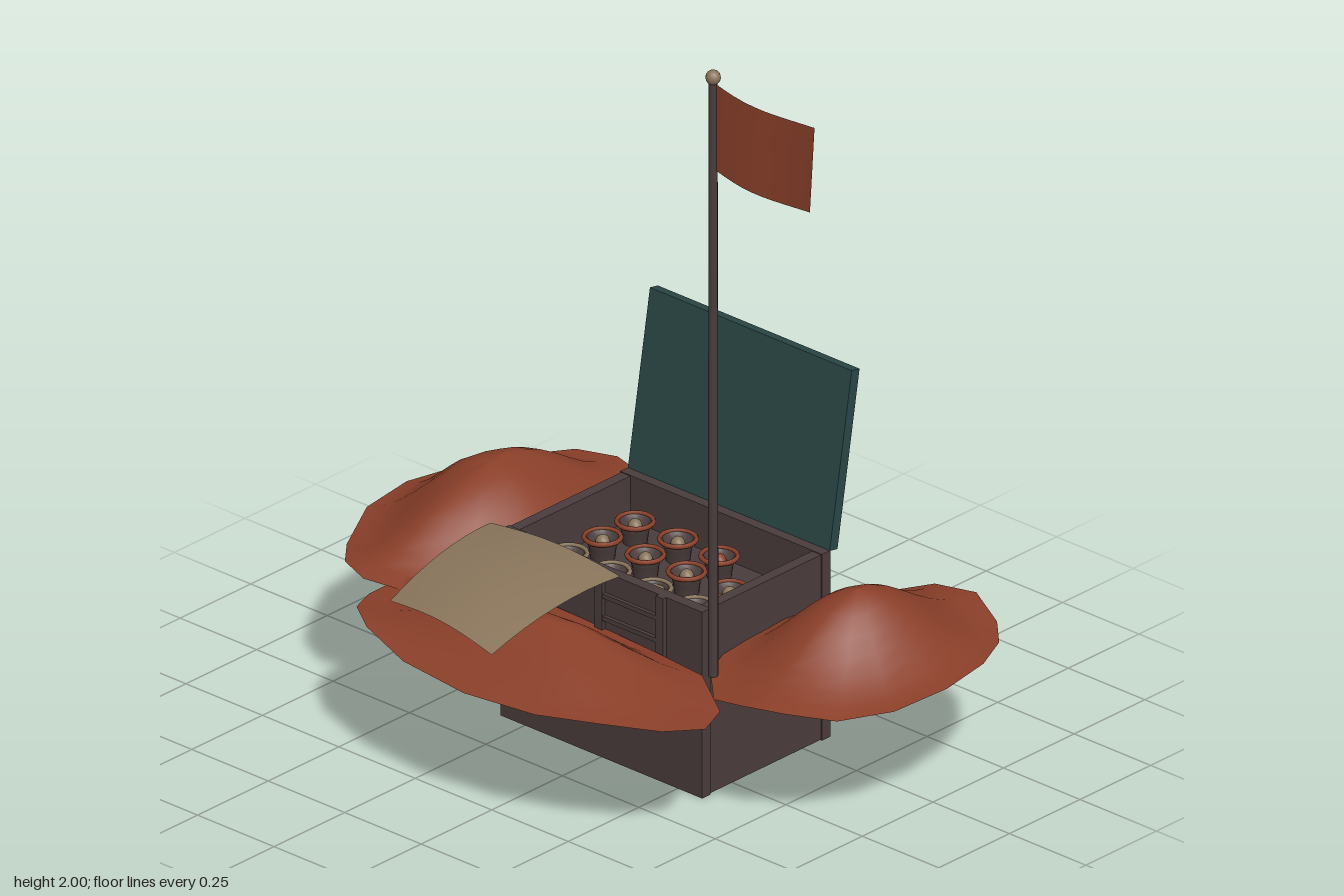
import * as THREE from 'three';
import { mergeVertices } from 'three/addons/utils/BufferGeometryUtils.js';

const paint = (name, color, side = THREE.FrontSide) => {
  const m = new THREE.MeshStandardMaterial({ color, side });
  m.name = name;
  return m;
};

export function createModel() {
  const root = new THREE.Group();
  root.name = 'buriedCache';
  const iron = paint('dark iron', 0x4a3c3c);
  const rust = paint('rust earth', 0x8a3f29, THREE.DoubleSide);
  const teal = paint('hatch teal', 0x294645);
  const tan = paint('canvas tan', 0x88745a, THREE.DoubleSide);

  const add = (parent, name, geo, mat, x = 0, y = 0, z = 0) => {
    const m = new THREE.Mesh(geo, mat);
    m.name = name;
    m.position.set(x, y, z);
    parent.add(m);
    return m;
  };
  const box = (parent, name, mat, w, h, d, x, y, z) =>
    add(parent, name, new THREE.BoxGeometry(w, h, d), mat, x, y, z);

  // Open crate: front and back walls overlap the slightly inset side walls
  const crate = new THREE.Group();
  crate.name = 'crate';
  root.add(crate);
  box(crate, 'frontWall', iron, 0.66, 0.5, 0.03, 0, 0.25, 0.097);
  box(crate, 'backWall', iron, 0.66, 0.5, 0.03, 0, 0.25, -0.327);
  for (const s of [-1, 1])
    box(crate, 'sideWall', iron, 0.03, 0.496, 0.394, s * 0.312, 0.25, -0.115);
  box(crate, 'shelf', iron, 0.6, 0.02, 0.4, 0, 0.37, -0.115);

  // Short ladder on the front wall
  const ladder = new THREE.Group();
  ladder.name = 'ladder';
  root.add(ladder);
  for (const x of [0, 0.2])
    box(ladder, 'ladderRail', iron, 0.025, 0.17, 0.012, x, 0.415, 0.117);
  for (const y of [0.38, 0.44])
    box(ladder, 'ladderRung', iron, 0.19, 0.012, 0.01, 0.1, y, 0.117);

  // Stored canisters, one place left empty
  const cupProfile = [[0.03, 0], [0.034, 0.03], [0.044, 0.055], [0.036, 0.055], [0.028, 0.04], [0, 0.04]]
    .map(([r, y]) => new THREE.Vector2(r, y));
  const cup = new THREE.LatheGeometry(cupProfile, 16);
  const collar = new THREE.TorusGeometry(0.045, 0.006, 6, 18).rotateX(Math.PI / 2);
  [-0.21, -0.07, 0.065, 0.205].forEach((x, i) => {
    [-0.235, -0.12, 0].forEach((z, j) => {
      if (i === 3 && j === 0) return;
      const can = new THREE.Group();
      can.name = 'canister';
      can.position.set(x, 0.38, z);
      root.add(can);
      add(can, 'cup', cup, iron);
      add(can, 'collar', collar, j === 2 ? tan : rust, 0, 0.055, 0);
      const r = i === 2 && j === 2 ? 0.034 : 0.018;
      const knob = new THREE.SphereGeometry(r, 10, 6).scale(1, 0.018 / r, 1);
      add(can, 'knob', knob, i === 2 && j === 0 ? rust : tan, 0, 0.043, 0);
    });
  });

  // Open hatch leaning back, with two half-ring handles
  const hatch = new THREE.Group();
  hatch.name = 'hatch';
  hatch.position.set(0, 0.497, -0.353);
  hatch.rotation.x = -0.17;
  root.add(hatch);
  box(hatch, 'hatchPanel', teal, 0.66, 0.462, 0.028, 0, 0.231, 0);
  const handle = new THREE.TorusGeometry(0.032, 0.005, 6, 14, Math.PI).rotateX(-Math.PI / 2);
  for (const x of [-0.2, 0.2])
    add(hatch, 'handle', handle, iron, x, 0.28, -0.014);

  // Earth mounds: disc raised to a soft bell with a wavy rim
  const mound = (name, cx, cz, rx, rz, h, seed, flat) => {
    let g = new THREE.RingGeometry(0.001, 1, 16, 8).rotateX(-Math.PI / 2);
    g.deleteAttribute('uv');
    g.deleteAttribute('normal');
    g = mergeVertices(g, 1e-5);
    const p = g.attributes.position;
    for (let i = 0; i < p.count; i++) {
      const x = p.getX(i), z = p.getZ(i), r = Math.hypot(x, z), a = Math.atan2(z, x);
      const k = 1 + r * 0.025 * Math.sin(3 * a + seed);
      const bell = 0.5 + 0.5 * Math.cos(Math.PI * Math.pow(Math.min(r, 1), flat));
      const bump = 0.012 * r * Math.sin(4 * a + seed * 2) + 0.006 * Math.sin(5 * x + 6 * z + seed);
      p.setXYZ(i, x * rx * k, h * bell + bump, z * rz * k);
    }
    g.computeVertexNormals();
    add(root, name, g, rust, cx, 0.357, cz);
  };
  mound('leftMound', 0.565, -0.185, 0.285, 0.415, 0.172, 1.2, 1.0);
  mound('rightMound', -0.575, -0.125, 0.275, 0.45, 0.162, 4.1, 1.05);
  mound('frontMound', 0, 0.35, 0.55, 0.245, 0.1, 2.4, 1.15);

  // Canvas sheet draped from the crate rim over the front mound
  const sheet = new THREE.PlaneGeometry(1, 1, 10, 8);
  const sp = sheet.attributes.position;
  for (let i = 0; i < sp.count; i++) {
    const u = sp.getX(i) + 0.5, v = 0.5 - sp.getY(i);
    const x = -0.36 + u * (0.425 - 0.065 * v);
    const z = 0.115 + v * (0.355 + 0.03 * u);
    const y = 0.508 + 0.018 * Math.sin(Math.PI * u) + 0.01 * v - 0.09 * v * v - 0.012 * u * v;
    sp.setXYZ(i, x, y, z);
  }
  sheet.computeVertexNormals();
  add(root, 'canvasSheet', sheet, tan);

  // Flagpole with ball finial
  add(root, 'flagpole', new THREE.CylinderGeometry(0.011, 0.013, 1.6, 10), iron, 0.41, 1.175, 0.16);
  add(root, 'finial', new THREE.SphereGeometry(0.019, 12, 8), tan, 0.41, 1.981, 0.16);

  // Sagging flag, swept slightly back
  const flag = new THREE.PlaneGeometry(1, 1, 10, 4);
  const fp = flag.attributes.position;
  for (let i = 0; i < fp.count; i++) {
    const u = fp.getX(i) + 0.5, v = fp.getY(i) + 0.5;
    const x = 0.415 + u * (0.295 + 0.015 * v);
    const y = 1.735 + 0.232 * v - 0.022 * u - 0.016 * Math.sin(Math.PI * u);
    const z = 0.16 - 0.018 * u + 0.004 * Math.sin(Math.PI * 2 * u);
    fp.setXYZ(i, x, y, z);
  }
  flag.computeVertexNormals();
  add(root, 'flag', flag, rust);

  return root;
}
